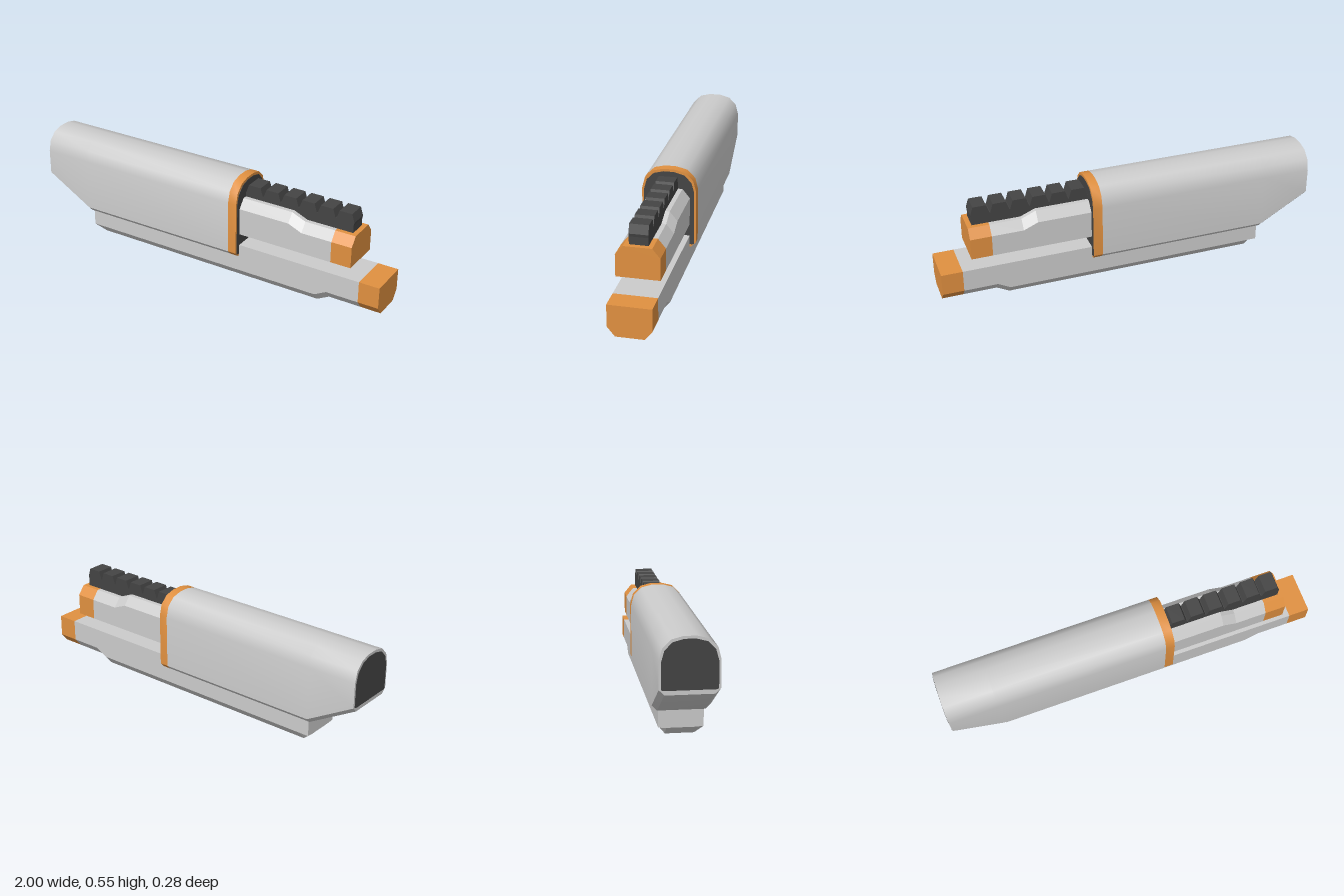
import * as THREE from 'three';
import { toCreasedNormals } from 'three/addons/utils/BufferGeometryUtils.js';

const paint = (color, flatShading = true) => new THREE.MeshStandardMaterial({ color, flatShading });

// Mirrors a half outline of [z, y] points (top to bottom) into a closed loop at x
function section(x, half) {
  const side = (s) => half.map(([z, y]) => new THREE.Vector3(x, y, s * z));
  return [...side(1), ...side(-1).reverse()];
}

// Skins convex sections ordered along +x and closes both ends
function loft(sections) {
  const tris = [];
  for (let s = 0; s < sections.length - 1; s++) {
    const A = sections[s], B = sections[s + 1];
    A.forEach((a, i) => {
      const j = (i + 1) % A.length;
      tris.push(a, A[j], B[j], a, B[j], B[i]);
    });
  }
  const first = sections[0], last = sections[sections.length - 1];
  for (let i = 1; i < first.length - 1; i++) {
    tris.push(first[0], first[i + 1], first[i], last[0], last[i], last[i + 1]);
  }
  const g = new THREE.BufferGeometry().setFromPoints(tris);
  g.computeVertexNormals();
  return g;
}

export function createModel() {
  const model = new THREE.Group();
  const grey = paint(0xcccccc), smoothGrey = paint(0xcccccc, false);
  const orange = paint(0xe09040), smoothOrange = paint(0xe09040, false), dark = paint(0x444444);

  const add = (name, geometry, material) => {
    const mesh = new THREE.Mesh(geometry, material);
    mesh.name = name;
    model.add(mesh);
  };

  // Rounded shroud with an upswept rear underside
  const shell = (x, low) => section(x, [
    [0.03, 0.552], [0.085, 0.538], [0.125, 0.498], [0.14, 0.44], [0.14, low + 0.026], [0.115, low],
  ]);
  const plate = (x, low) => section(x, [
    [0.027, 0.539], [0.079, 0.525], [0.115, 0.488], [0.13, 0.434], [0.13, low + 0.004], [0.12, low],
  ]);
  const smooth = (sections) => toCreasedNormals(loft(sections), 0.6);
  add('shroud', smooth([shell(-0.998, 0.284), shell(-0.74, 0.134), shell(0.16, 0.134)]), smoothGrey);
  add('shroudFrontBand', smooth([shell(0.16, 0.134), shell(0.207, 0.134)]), smoothOrange);
  add('shroudFrontPlate', loft([plate(0.19, 0.148), plate(0.209, 0.148)]), dark);
  add('shroudRearPlate', loft([plate(-1, 0.305), plate(-0.98, 0.305)]), dark);

  // Upper bar, bevelled along the top and stepped down toward its tip
  const upper = (x, top) => section(x, [[0.07, top], [0.108, top - 0.047], [0.108, 0.26]]);
  add('upperBar', loft([upper(0.19, 0.452), upper(0.49, 0.452), upper(0.565, 0.42), upper(0.73, 0.42)]), grey);
  add('upperBarTip', loft([upper(0.73, 0.42), upper(0.84, 0.42)]), orange);

  // Lower bar, bevelled along the bottom and stepped up toward its tip
  const lower = (x, low, edge = low + 0.047) => section(x, [[0.108, 0.197], [0.108, edge], [0.07, low]]);
  add('lowerBar', loft([
    lower(-0.73, 0.044, 0.047), lower(-0.68, 0), lower(0.65, 0), lower(0.715, 0.035), lower(0.89, 0.035),
  ]), grey);
  add('lowerBarTip', loft([lower(0.89, 0.035), lower(1, 0.035)]), orange);

  // Notched rail on top of the upper bar
  const rail = new THREE.Shape();
  rail.moveTo(0.2, 0.41);
  rail.lineTo(0.2, 0.475);
  for (let i = 0; i < 6; i++) {
    const x = 0.21 + i * 0.102;
    rail.lineTo(x, 0.475);
    rail.lineTo(x + 0.016, 0.52);
    rail.lineTo(x + 0.084, 0.52);
    rail.lineTo(x + 0.098, 0.475);
  }
  rail.lineTo(0.815, 0.46);
  rail.lineTo(0.815, 0.41);
  const railGeometry = new THREE.ExtrudeGeometry(rail, { depth: 0.094, bevelEnabled: false });
  railGeometry.translate(0, 0, -0.047);
  add('rail', railGeometry, dark);

  return model;
}
